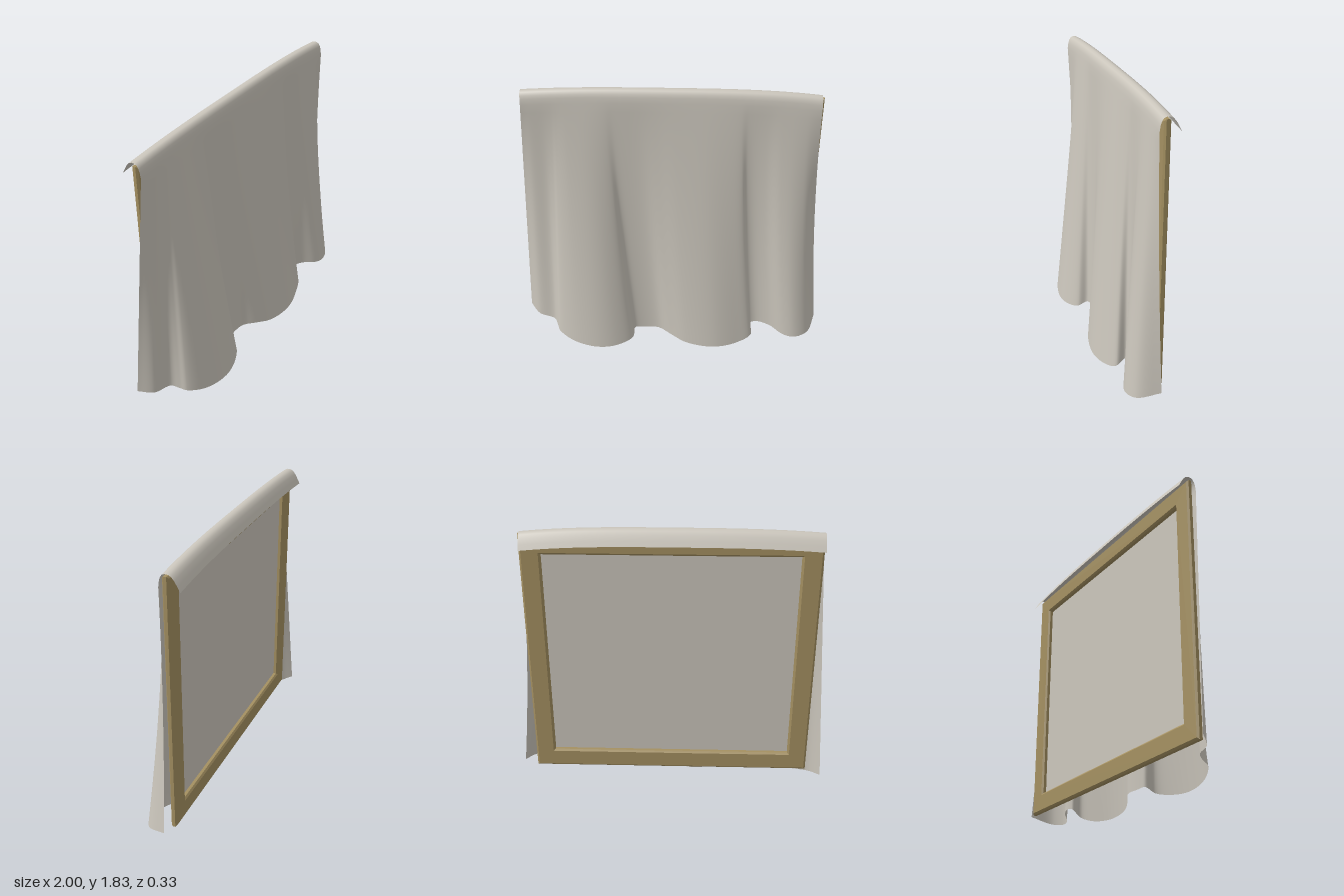
import * as THREE from 'three';

const cloth = new THREE.MeshStandardMaterial({ name: 'greyCloth', color: 0xcbc6bc, side: THREE.DoubleSide });
const wood = new THREE.MeshStandardMaterial({ name: 'goldenWood', color: 0xa49061 });

// Hem from the model's right to its left: x, y, z, and the x where that thread crosses the top
const hem = [
  [-1, .125, -.15, -.905], [-.93, .1, -.07, -.85], [-.82, .09, -.03, -.77], [-.79, .07, .02, -.72],
  [-.77, .06, .065, -.69], [-.66, .025, .13, -.64], [-.5, .005, .162, -.55], [-.37, .01, .145, -.48],
  [-.26, .035, .085, -.41], [-.25, .065, .02, -.36], [-.2, .06, .003, -.31], [-.085, .062, .01, -.2],
  [0, .052, .065, -.09], [.11, .027, .12, .02], [.3, .015, .145, .2], [.46, .03, .11, .34],
  [.555, .07, .065, .42], [.545, .11, 0, .46], [.59, .12, -.012, .5], [.68, .115, .02, .58],
  [.77, .095, .09, .66], [.85, .09, .107, .74], [.94, .105, .065, .82], [.995, .15, -.065, .895],
];

// Cross-section over the top of the frame, back to front: z and drop below the crest
const ridge = [
  [-.168, .09], [-.152, .06], [-.135, .03], [-.118, .01], [-.1, .001], [-.08, 0],
  [-.064, .007], [-.053, .025], [-.047, .045], [-.042, .08],
];

function drapeGeometry() {
  const cols = 138, fall = 30, rows = ridge.length - 1 + fall;
  const low = new THREE.CatmullRomCurve3(hem.map(([x, y, z]) => new THREE.Vector3(x, y, z)));
  const high = new THREE.CatmullRomCurve3(hem.map(h => new THREE.Vector3(h[3], 0, 0)));
  const geo = new THREE.PlaneGeometry(1, 1, cols, rows);
  const pos = geo.attributes.position;
  for (let i = 0; i <= cols; i++) {
    const b = low.getPoint(i / cols), tx = high.getPoint(i / cols).x;
    const crest = 1.833 - (tx > 0 ? .045 : .03) * Math.abs(tx) ** 3;
    const ease = 1 + .8 * i / cols;
    for (let j = 0; j <= rows; j++) {
      const [z, drop] = ridge[Math.min(j, ridge.length - 1)];
      // Folds open steadily from the ridge to the hem
      const t = Math.max(0, j - ridge.length + 1) / fall;
      pos.setXYZ(j * (cols + 1) + i,
        THREE.MathUtils.lerp(tx, b.x, t ** ease),
        THREE.MathUtils.lerp(crest - drop, b.y, t),
        THREE.MathUtils.lerp(z, b.z, t));
    }
  }
  geo.computeVertexNormals();
  return geo;
}

function rectangle(Type, w, h) {
  const p = new Type();
  p.moveTo(-w / 2, -h / 2);
  p.lineTo(w / 2, -h / 2);
  p.lineTo(w / 2, h / 2);
  p.lineTo(-w / 2, h / 2);
  p.closePath();
  return p;
}

export function createModel() {
  const group = new THREE.Group();
  const add = (name, geo, mat, x, y, z) => {
    const mesh = new THREE.Mesh(geo, mat);
    mesh.name = name;
    mesh.position.set(x, y, z);
    group.add(mesh);
  };

  // Bevelled picture frame
  const outline = rectangle(THREE.Shape, 1.786, 1.63);
  outline.holes.push(rectangle(THREE.Path, 1.58, 1.424));
  const frame = new THREE.ExtrudeGeometry(outline, {
    depth: .02, bevelThickness: .01, bevelSize: .012, bevelSegments: 1,
  });
  add('frame', frame, wood, 0, .963, -.095);

  // Panel set into the frame
  add('panel', new THREE.BoxGeometry(1.6, 1.44, .01), cloth, 0, .963, -.071);

  // Sheet hung over the frame
  add('drape', drapeGeometry(), cloth, 0, 0, 0);
  return group;
}
